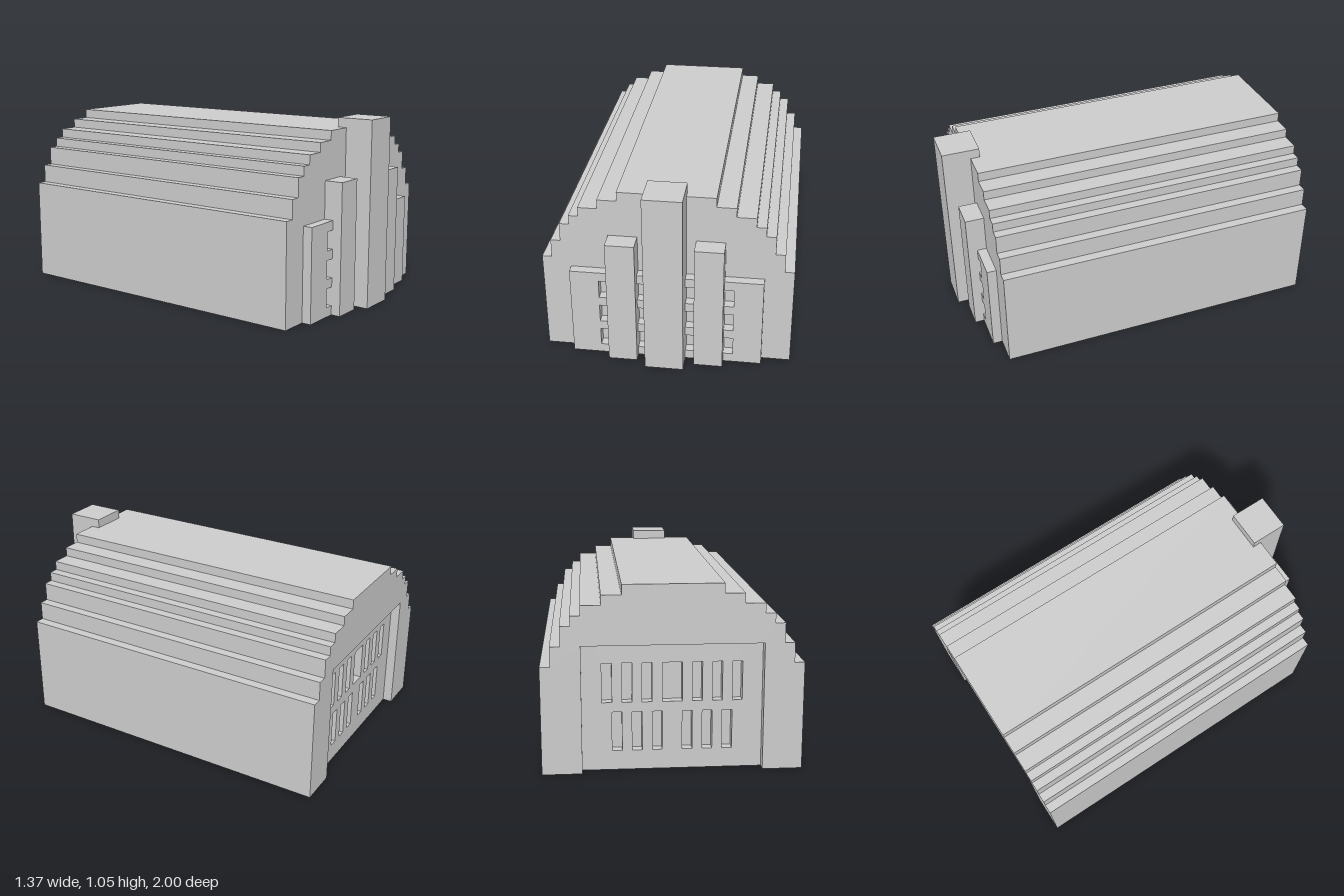
import * as THREE from 'three';

// Everything sits on a grid of 38 units along the longest side.
const U = 2 / 38;
const material = new THREE.MeshStandardMaterial({ color: 0xcccccc, flatShading: true });

// Stepped vault: [half width, top height] of each tier, in grid units.
const TIERS = [[13, 11], [12, 13], [11, 15], [10, 16], [9, 17], [7, 18], [5, 19]];

const toPoints = (pairs) => pairs.map(([x, y]) => new THREE.Vector2(x * U, y * U));
const rect = (x0, x1, y0, y1) => [[x0, y0], [x1, y0], [x1, y1], [x0, y1]];

// Stepped outline, optionally with a doorway-like notch rising from the ground.
function vaultOutline(notch = []) {
  const right = [];
  let y = 0;
  for (const [w, top] of TIERS) {
    right.push([w, y], [w, top]);
    y = top;
  }
  const left = right.map(([x, h]) => [-x, h]).reverse();
  return [...right, ...left, ...notch];
}

// Flat slab between two z positions, with rectangular openings.
function slab(name, outline, z0, z1, holes = []) {
  const shape = new THREE.Shape(toPoints(outline));
  for (const h of holes) shape.holes.push(new THREE.Path(toPoints(h)));
  const geometry = new THREE.ExtrudeGeometry(shape, { depth: (z1 - z0) * U, bevelEnabled: false });
  geometry.translate(0, 0, z0 * U);
  const mesh = new THREE.Mesh(geometry, material);
  mesh.name = name;
  return mesh;
}

function block(name, x0, x1, height, z0, z1) {
  const geometry = new THREE.BoxGeometry((x1 - x0) * U, height * U, (z1 - z0) * U);
  geometry.translate((x0 + x1) / 2 * U, height / 2 * U, (z0 + z1) / 2 * U);
  const mesh = new THREE.Mesh(geometry, material);
  mesh.name = name;
  return mesh;
}

export function createModel() {
  const model = new THREE.Group();
  model.name = 'vaultedHall';

  // Main hall
  model.add(slab('hall', vaultOutline(), -17, 16));

  // Rear wall with two rows of windows
  const rearWindows = [rect(-1, 1, 7, 11)];
  for (const x of [2, 4, 6]) {
    rearWindows.push(rect(x, x + 1, 7, 11), rect(-x - 1, -x, 7, 11));
    rearWindows.push(rect(x - 1, x, 2, 6), rect(-x, -x + 1, 2, 6));
  }
  model.add(slab('rearWindowWall', vaultOutline(), -18, -17, rearWindows));

  // Rear frame around the recessed window wall
  model.add(slab('rearFrame', vaultOutline([[-9, 0], [-9, 13], [9, 13], [9, 0]]), -19, -18));

  // Front panel, three window openings on each side of the tower
  const frontWindows = [];
  for (const y of [1, 4, 7]) {
    frontWindows.push(rect(1, 7, y, y + 2), rect(-7, -1, y, y + 2));
  }
  model.add(slab('frontPanel', rect(-10, 10, 0, 10), 16, 17, frontWindows));

  // Pilasters and central tower
  model.add(block('leftPilaster', 3, 6, 14, 16, 18));
  model.add(block('rightPilaster', -6, -3, 14, 16, 18));
  model.add(block('tower', -2, 2, 20, 15, 19));

  return model;
}
